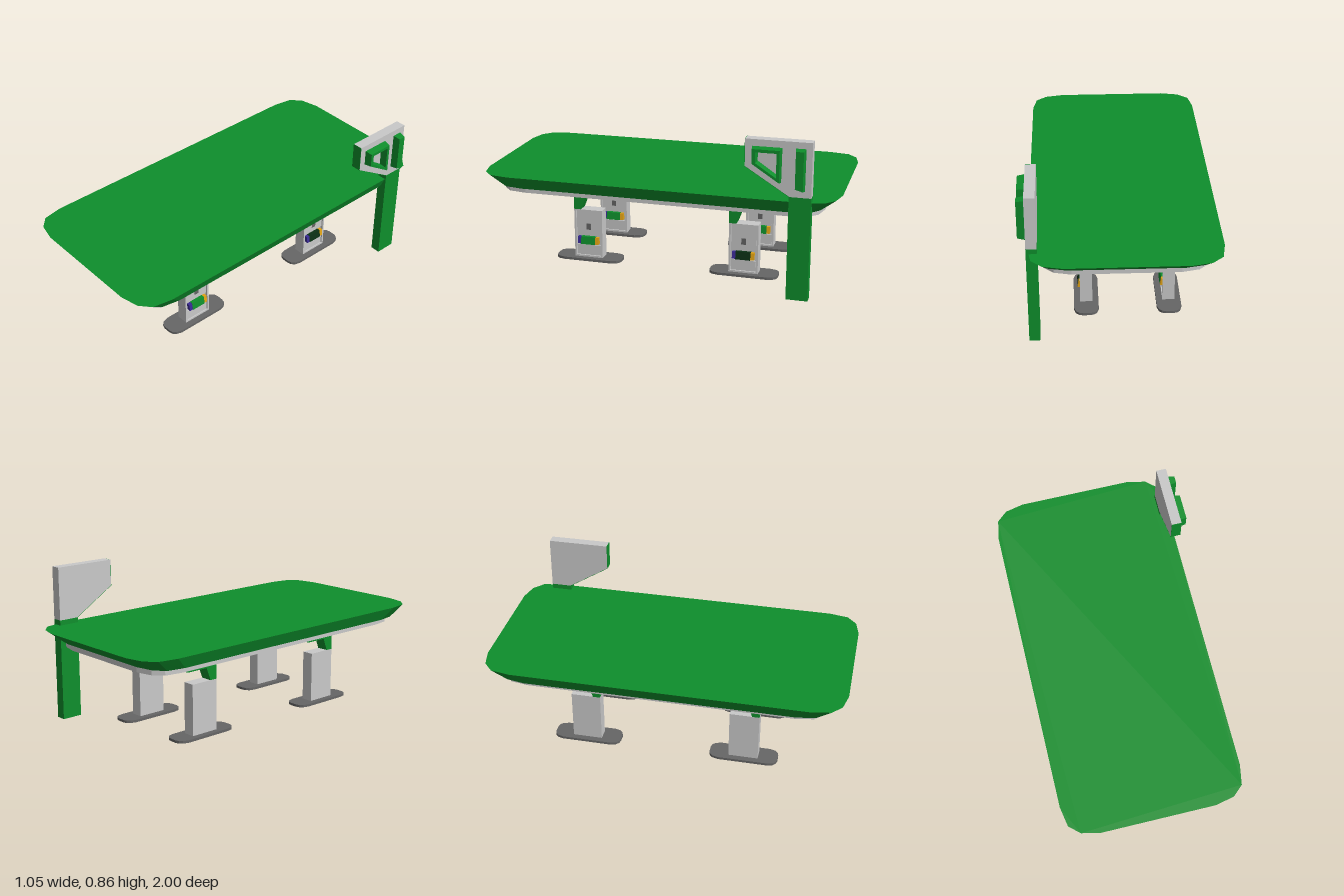
import * as THREE from 'three';

const mat = (name, color, side = THREE.FrontSide) => {
  const m = new THREE.MeshStandardMaterial({ color, side });
  m.name = name;
  return m;
};

export function createModel() {
  const green = mat('green', 0x0e8f2c);
  const darkGreen = mat('dark green', 0x0a3014);
  const white = mat('off white', 0xc9c9c9);
  const grey = mat('kerb grey', 0x666666);
  const blue = mat('blue', 0x3a2a96);
  const yellow = mat('yellow', 0xe0a214);

  const root = new THREE.Group();
  root.name = 'fuelStation';

  const add = (parent, name, geo, material, x = 0, y = 0, z = 0) => {
    const m = new THREE.Mesh(geo, material);
    m.name = name;
    m.position.set(x, y, z);
    parent.add(m);
    return m;
  };
  const box = (parent, name, material, x0, x1, y0, y1, z0, z1) =>
    add(parent, name, new THREE.BoxGeometry(x1 - x0, y1 - y0, z1 - z0), material,
      (x0 + x1) / 2, (y0 + y1) / 2, (z0 + z1) / 2);
  const poly = (pts) => new THREE.Shape(pts.map(([x, y]) => new THREE.Vector2(x, y)));

  // Chamfered-corner outline mirrored from one quadrant
  const rounded = (quad, sx, sz) => {
    const q = quad.map(([x, z]) => [x * sx, z * sz]);
    const r = [...q].reverse();
    return poly([
      ...q,
      ...r.map(([x, z]) => [-x, z]),
      ...q.map(([x, z]) => [-x, -z]),
      ...r.map(([x, z]) => [x, -z]),
    ]);
  };
  // Flat slab whose lower outline is scaled
  const slab = (shape, height, bx = 1, bz = 1) => {
    const g = new THREE.ExtrudeGeometry(shape, { depth: height, bevelEnabled: false });
    g.rotateX(-Math.PI / 2);
    const p = g.attributes.position;
    for (let i = 0; i < p.count; i++) {
      if (p.getY(i) < height / 2) p.setXYZ(i, p.getX(i) * bx, p.getY(i), p.getZ(i) * bz);
    }
    g.computeVertexNormals();
    return g;
  };
  // Profile drawn in (-z, y), extruded along +x
  const sideways = (shape, options) =>
    new THREE.ExtrudeGeometry(shape, { bevelEnabled: false, ...options }).rotateY(Math.PI / 2);

  // Canopy: flared roof over a pale soffit
  const roofQuad = [[0.499, 0.816], [0.479, 0.925], [0.421, 0.977], [0.317, 1]];
  add(root, 'canopyRoof', slab(rounded(roofQuad, 1, 1), 0.067, 0.938, 0.915), green, -0.024, 0.47, 0);
  add(root, 'canopySoffit', slab(rounded(roofQuad, 0.874, 0.903), 0.034), white, -0.024, 0.437, 0);

  // Pump islands
  const kerbQuad = [[1, 0.72], [0.86, 0.89], [0.62, 0.97], [0.3, 1]];
  const kerbGeo = slab(rounded(kerbQuad, 0.067, 0.193), 0.014);
  const frame = poly([[-0.083, 0.014], [0.083, 0.014], [0.083, 0.298], [-0.083, 0.298]]);
  frame.holes.push(new THREE.Path(
    [[-0.072, 0.024], [-0.072, 0.29], [0.072, 0.29], [0.072, 0.024]].map(([x, y]) => new THREE.Vector2(x, y))));
  const frameGeo = sideways(frame, { depth: 0.016 });
  const bracketGeo = sideways(poly([
    [-0.083, 0.298], [-0.042, 0.298], [-0.015, 0.37], [0.113, 0.37],
    [0.133, 0.377], [0.143, 0.393], [0.146, 0.415], [0.146, 0.438], [-0.083, 0.438],
  ]), { depth: 0.067 });
  const wedge = (k, length) => new THREE.ExtrudeGeometry(
    poly([[-0.014, 0.116 - 0.022 * k], [0.013 * k, 0.116 - 0.022 * k], [0.006 * k, 0.116 + 0.022 * k], [-0.014, 0.116 + 0.022 * k]]),
    { depth: length, bevelEnabled: false });

  const makePump = (x, z, nozzleMaterial) => {
    const g = new THREE.Group();
    g.name = 'pumpIsland';
    g.position.set(x, 0, z);
    add(g, 'kerb', kerbGeo, grey);
    box(g, 'pumpBody', white, -0.0335, 0.0175, 0.014, 0.298, -0.083, 0.083);
    add(g, 'pumpFrame', frameGeo, white, 0.0175);
    add(g, 'roofBracket', bracketGeo, green, -0.0335);
    // Recessed front panels and display
    box(g, 'upperPanel', white, 0.017, 0.027, 0.148, 0.289, -0.07, 0.07);
    box(g, 'lowerPanel', white, 0.017, 0.027, 0.025, 0.086, -0.07, 0.07);
    box(g, 'display', grey, 0.026, 0.03, 0.178, 0.214, -0.013, 0.013);
    // Nozzle shelf with coloured ends
    add(g, 'nozzleShelf', wedge(1, 0.084), nozzleMaterial, 0.0335, 0, -0.042);
    add(g, 'blueNozzle', wedge(0.9, 0.02), blue, 0.0335, 0, 0.042);
    add(g, 'yellowNozzle', wedge(0.9, 0.02), yellow, 0.0335, 0, -0.062);
    root.add(g);
  };
  for (const x of [-0.271, 0.178]) {
    for (const z of [0.446, -0.457]) {
      makePump(x, z, x > 0 && z < 0 ? darkGreen : green);
    }
  }

  // Roadside sign: post, panel with green leading edges
  box(root, 'signPost', green, 0.425, 0.481, 0, 0.565, -0.861, -0.745);
  const panel = [[0.861, 0.565], [0.861, 0.858], [0.513, 0.858], [0.513, 0.712], [0.749, 0.565]];
  add(root, 'signPanel', sideways(poly(panel), { depth: 0.056 }), white, 0.425);
  add(root, 'signEdge', sideways(poly([
    [0.513, 0.858], [0.511, 0.858], [0.511, 0.711], [0.748, 0.563], [0.749, 0.565], [0.513, 0.712],
  ]), { depth: 0.056 }), green, 0.425);

  // Raised tapered relief on the panel
  const relief = { depth: 0.002, bevelEnabled: true, bevelThickness: 0.039, bevelSize: 0.006, bevelSegments: 1 };
  const ring = poly([[0.556, 0.816], [0.556, 0.738], [0.7, 0.645], [0.7, 0.816]]);
  ring.holes.push(new THREE.Path(
    [[0.574, 0.8], [0.684, 0.8], [0.684, 0.671], [0.574, 0.743]].map(([x, y]) => new THREE.Vector2(x, y))));
  add(root, 'reliefFrame', sideways(ring, relief), green, 0.481);
  add(root, 'reliefBar', sideways(
    poly([[0.782, 0.818], [0.782, 0.62], [0.823, 0.608], [0.823, 0.818]]), relief), green, 0.481);

  return root;
}
